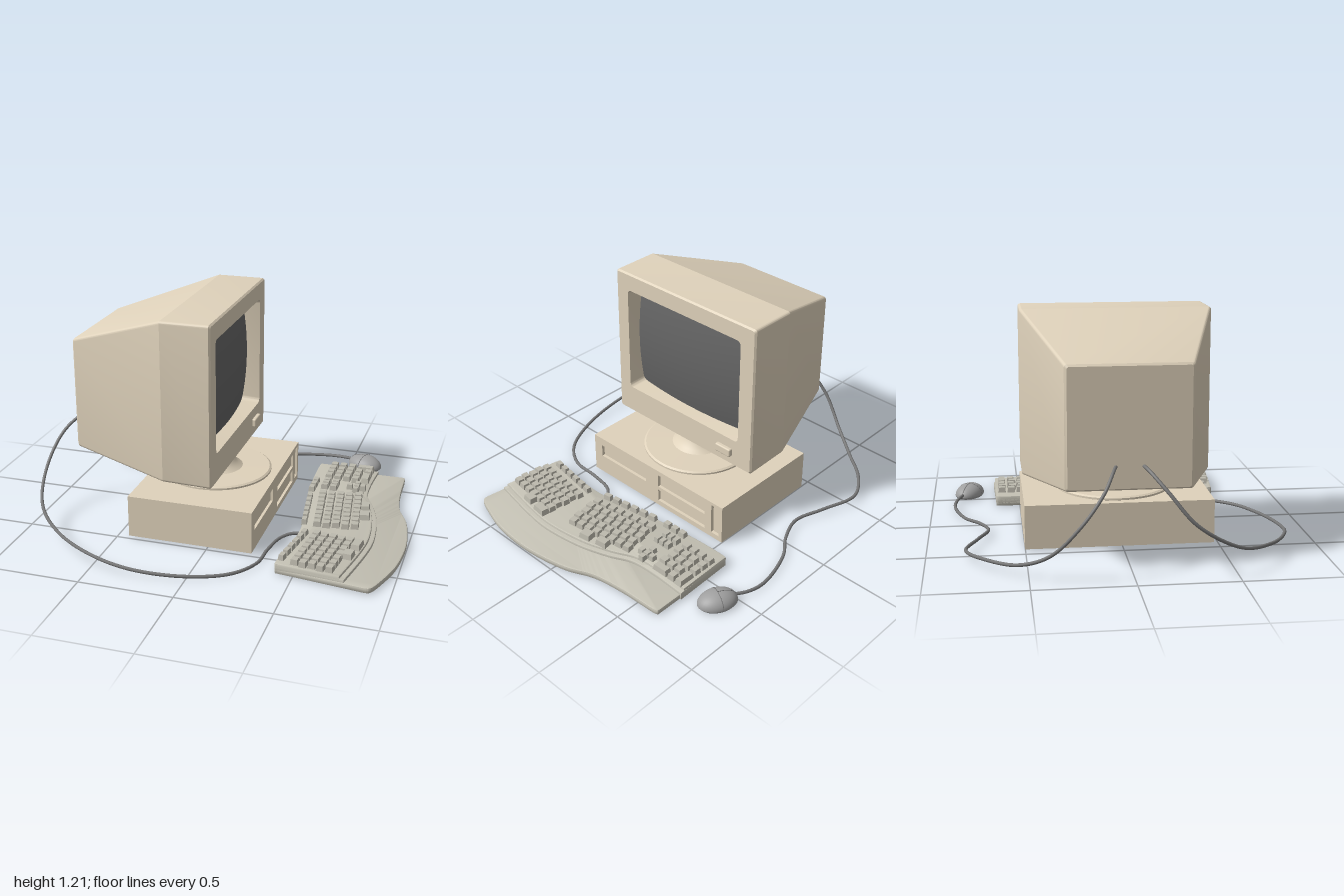
import * as THREE from 'three';
import { mergeGeometries, toCreasedNormals } from 'three/addons/utils/BufferGeometryUtils.js';
import { RoundedBoxGeometry } from 'three/addons/geometries/RoundedBoxGeometry.js';

const mat = (color, extra) => new THREE.MeshStandardMaterial({ color, ...extra });
const beige = mat(0xdfd2bb);
const glass = mat(0x666666, { side: THREE.DoubleSide });
const plastic = mat(0xc4c1b4);
const keyPlastic = mat(0xbdbaae, { flatShading: true });
const mouseGrey = mat(0xa0a0a0);
const cableGrey = mat(0x777777);

function add(parent, name, geometry, material, x = 0, y = 0, z = 0) {
  const mesh = new THREE.Mesh(geometry, material);
  mesh.name = name;
  mesh.position.set(x, y, z);
  parent.add(mesh);
  return mesh;
}

// Rounded rectangle in the y-z plane, running anticlockwise as seen from +x
function section(x, z0, z1, y0, y1, r) {
  const points = [], steps = 6;
  for (let c = 0; c < 4; c++) {
    const z = c === 0 || c === 3 ? z0 + r : z1 - r;
    const y = c < 2 ? y1 - r : y0 + r;
    for (let s = 0; s <= steps; s++) {
      const a = (c + s / steps) * Math.PI / 2;
      points.push([x, y + r * Math.sin(a), z - r * Math.cos(a)]);
    }
  }
  return points;
}

function loft(sections) {
  const n = sections[0].length, index = [];
  for (let i = 0; i < sections.length - 1; i++) {
    for (let j = 0; j < n; j++) {
      const k = (j + 1) % n, a = i * n + j, b = i * n + k;
      index.push(a, b, b + n, a, b + n, a + n);
    }
  }
  const g = new THREE.BufferGeometry();
  g.setAttribute('position', new THREE.Float32BufferAttribute(sections.flat(2), 3));
  g.setIndex(index);
  return toCreasedNormals(g, 0.3);
}

function createMonitor() {
  const g = new THREE.Group();
  g.name = 'monitor';
  // Tapered housing, front frame and the recess around the screen
  add(g, 'housing', loft([
    section(-0.8, -0.01, -0.01, 0.7, 0.7, 0),
    section(-0.8, -0.31, 0.287, 0.413, 1.005, 0.012),
    section(-0.79, -0.322, 0.3, 0.404, 1.016, 0.015),
    section(-0.24, -0.505, 0.48, 0.345, 1.21, 0.015),
    section(0.015, -0.505, 0.48, 0.338, 1.21, 0.015),
    section(0.025, -0.497, 0.472, 0.346, 1.202, 0.012),
    section(0.025, -0.41, 0.395, 0.5, 1.112, 0.025),
    section(-0.1, -0.40, 0.385, 0.51, 1.102, 0.025),
  ]), beige);

  // Bulging screen
  const screen = new THREE.PlaneGeometry(0.8, 0.61, 16, 16).rotateY(Math.PI / 2);
  const p = screen.attributes.position;
  for (let i = 0; i < p.count; i++) {
    p.setX(i, -0.03 * ((p.getZ(i) / 0.4) ** 2 + (p.getY(i) / 0.305) ** 2));
  }
  screen.computeVertexNormals();
  add(g, 'screen', screen, glass, -0.02, 0.806, -0.008);
  add(g, 'powerButton', new RoundedBoxGeometry(0.04, 0.048, 0.104, 2, 0.008), beige, 0.026, 0.418, -0.32);

  // Swivel stand
  const profile = [[0, 0.235], [0.29, 0.235], [0.305, 0.24], [0.305, 0.25], [0.295, 0.257], [0.145, 0.259],
    [0.122, 0.275], [0.105, 0.295], [0.09, 0.32], [0.08, 0.36], [0, 0.36]];
  const lathe = new THREE.LatheGeometry(profile.map(q => new THREE.Vector2(...q)), 48);
  add(g, 'stand', toCreasedNormals(lathe, 0.5), beige, -0.105, 0, -0.01);
  return g;
}

function createCase() {
  const g = new THREE.Group();
  g.name = 'computerCase';
  add(g, 'caseBody', new THREE.BoxGeometry(0.655, 0.23, 0.98), beige, -0.1125, 0.12, -0.012);
  // Front plate with recessed bays: z from, z to, y from, y to
  const bays = [[0.065, 0.42, 0.115, 0.187], [-0.377, -0.03, 0.13, 0.207],
    [-0.377, -0.03, 0.035, 0.108], [-0.48, -0.425, 0.035, 0.217]];
  const rect = (Type, z0, z1, y0, y1) => new Type(
    [[-z1, y0], [-z0, y0], [-z0, y1], [-z1, y1]].map(q => new THREE.Vector2(...q)));
  const plate = rect(THREE.Shape, -0.502, 0.478, 0.005, 0.235);
  bays.forEach(b => plate.holes.push(rect(THREE.Path, ...b)));
  const plateGeometry = new THREE.ExtrudeGeometry(plate, { depth: 0.025, bevelEnabled: false });
  add(g, 'frontPlate', plateGeometry.rotateY(Math.PI / 2), beige, 0.215);
  bays.forEach(([z0, z1, y0, y1]) => add(g, 'bayCover',
    new THREE.BoxGeometry(0.015, y1 - y0 - 0.016, z1 - z0 - 0.016), beige, 0.222, (y0 + y1) / 2, (z0 + z1) / 2));
  return g;
}

// Horizontal slab with a curved front and back edge, given as [x, z] points
function slab(front, back, height, bevel) {
  const v = q => new THREE.Vector2(q[0], -q[1]);
  const s = new THREE.Shape();
  s.moveTo(...v(front[0]).toArray());
  s.splineThru(front.slice(1).map(v));
  s.lineTo(...v(back[0]).toArray());
  s.splineThru(back.slice(1).map(v));
  s.closePath();
  const geo = new THREE.ExtrudeGeometry(s, { depth: height - 2 * bevel, bevelSize: bevel, bevelOffset: -bevel,
    bevelThickness: bevel, bevelSegments: 2, curveSegments: 24 });
  return toCreasedNormals(geo.rotateX(-Math.PI / 2).translate(0, bevel, 0), 0.6);
}

// Tapered keycap: centre, size along x and z, turn about y
function keycap(x, z, w = 0.043, d = 0.043, turn = 0) {
  return new THREE.CylinderGeometry(0.58, 0.707, 1, 4).rotateY(Math.PI / 4)
    .scale(w, 0.032, d).rotateY(turn).translate(x, 0.071, z);
}

// Grid of keys; rows step along the turned x axis and columns along the turned z axis
function keyGrid(x, z, rows, cols, turn = 0, rowStep = 0.05, colStep = 0.052, w = 0.043, d = 0.045) {
  const keys = [], c = Math.cos(turn), s = Math.sin(turn);
  for (let i = 0; i < rows; i++) {
    for (let j = 0; j < cols; j++) {
      const u = i * rowStep, v = j * colStep + (i % 2) * 0.008;
      keys.push(keycap(x + u * c + v * s, z - u * s + v * c, w, d, turn));
    }
  }
  return keys;
}

function createKeyboard() {
  const g = new THREE.Group();
  g.name = 'keyboard';
  const back = [[0.42, 0.637], [0.402, 0.61], [0.425, 0.42], [0.437, 0.25], [0.42, 0.08], [0.38, -0.17],
    [0.355, -0.4], [0.35, -0.61], [0.365, -0.635]];
  add(g, 'palmRest', slab([[0.845, -0.637], [0.862, -0.61], [0.87, -0.4], [0.895, -0.22], [0.955, -0.07], [0.988, 0.1],
    [0.998, 0.26], [0.98, 0.45], [0.93, 0.62], [0.9, 0.685], [0.87, 0.695]], back, 0.03, 0.008), plastic);
  const deckFront = [[0.7, -0.645], [0.69, -0.45], [0.7, -0.3], [0.755, -0.17], [0.805, 0], [0.83, 0.22],
    [0.815, 0.4], [0.765, 0.675]];
  add(g, 'deckStep', slab(deckFront, back, 0.045, 0.006), plastic);
  add(g, 'keyDeck', slab(deckFront.map(([x, z]) => [x - 0.025, z * 0.995]), back, 0.058, 0.008), plastic);

  const blocks = {
    numberPad: [...keyGrid(0.445, -0.547, 4, 3, 0, 0.052, 0.052), keycap(0.445, -0.6), keycap(0.497, -0.6),
      keycap(0.55, -0.6), keycap(0.63, -0.6, 0.1), keycap(0.655, -0.547), keycap(0.655, -0.468, 0.043, 0.095)],
    navigationKeys: keyGrid(0.45, -0.372, 2, 3, 0, 0.052, 0.037, 0.042, 0.031),
    arrowKeys: [[0.588, -0.335], [0.628, -0.373], [0.628, -0.335], [0.628, -0.297], [0.662, -0.335]]
      .map(([x, z]) => keycap(x, z, 0.034, 0.034)),
    systemKeys: keyGrid(0.387, -0.357, 1, 3, 0, 0, 0.054, 0.034, 0.044),
    rightHandKeys: [...keyGrid(0.462, -0.195, 5, 8, 0.14), keycap(0.722, -0.1, 0.05, 0.07, 0.14),
      keycap(0.738, 0.005, 0.06, 0.07, 0.14)],
    rightFunctionKeys: keyGrid(0.399, -0.145, 1, 6, 0.14, 0, 0.061, 0.03, 0.048),
    leftHandKeys: [...keyGrid(0.54, 0.295, 5, 7, -0.12, 0.046, 0.052, 0.04), keycap(0.765, 0.345, 0.05, 0.09, -0.12),
      keycap(0.742, 0.46, 0.055, 0.07, -0.12)],
    leftFunctionKeys: keyGrid(0.475, 0.295, 1, 6, -0.16, 0, 0.057, 0.03, 0.046),
  };
  for (const [name, keys] of Object.entries(blocks)) add(g, name, mergeGeometries(keys), keyPlastic);
  return g;
}

function tube(points, radius, segments) {
  const curve = new THREE.CatmullRomCurve3(points.map(p => new THREE.Vector3(...p)));
  return new THREE.TubeGeometry(curve, segments, radius, 8);
}

function createMouse() {
  const g = new THREE.Group();
  g.name = 'mouse';
  const dome = new THREE.SphereGeometry(1, 32, 12, 0, Math.PI * 2, 0, Math.PI / 2);
  add(g, 'mouseShell', dome.scale(0.107, 0.063, 0.078), mouseGrey, 0, 0.012, 0);
  add(g, 'mouseBase', new THREE.CylinderGeometry(1, 0.9, 0.012, 32).scale(0.107, 1, 0.078), mouseGrey, 0, 0.006, 0);
  // Seams between the buttons and the palm part
  const onDome = (x, z) => [x, 0.012 + 0.063 * Math.sqrt(Math.max(0, 1 - (x / 0.107) ** 2 - (z / 0.078) ** 2)), z];
  const across = [], along = [];
  for (let i = 0; i <= 12; i++) {
    across.push(onDome(0, 0.078 * Math.sin((i / 6 - 1) * Math.PI / 2)));
    along.push(onDome(-0.107 * Math.sin(i / 12 * Math.PI / 2), 0));
  }
  add(g, 'crossSeam', tube(across, 0.002, 24), cableGrey);
  add(g, 'buttonSeam', tube(along, 0.002, 24), cableGrey);
  g.position.set(0.59, 0, -0.79);
  g.rotation.y = -0.42;
  return g;
}

export function createModel() {
  const model = new THREE.Group();
  model.name = 'desktopComputer';
  model.add(createMonitor(), createCase(), createKeyboard(), createMouse());

  // Cables from the back of the monitor
  add(model, 'keyboardCable', tube([[-0.78, 0.525, 0.05], [-0.85, 0.51, 0.075], [-0.94, 0.43, 0.15], [-0.99, 0.28, 0.28],
    [-0.93, 0.145, 0.5], [-0.75, 0.095, 0.7], [-0.5, 0.065, 0.835], [-0.27, 0.035, 0.865], [0, 0.016, 0.82],
    [0.2, 0.01, 0.72], [0.295, 0.01, 0.58], [0.31, 0.01, 0.42], [0.34, 0.012, 0.28], [0.39, 0.018, 0.225],
    [0.45, 0.02, 0.21]], 0.009, 160), cableGrey);
  add(model, 'mouseCable', tube([[-0.78, 0.525, -0.075], [-0.84, 0.51, -0.095], [-0.915, 0.42, -0.15], [-0.955, 0.28, -0.26],
    [-0.91, 0.13, -0.4], [-0.82, 0.06, -0.55], [-0.68, 0.05, -0.72], [-0.53, 0.042, -0.8], [-0.33, 0.033, -0.74],
    [-0.16, 0.025, -0.685], [-0.02, 0.018, -0.73], [0.1, 0.012, -0.81], [0.32, 0.011, -0.87], [0.43, 0.018, -0.86],
    [0.53, 0.03, -0.815]], 0.009, 160), cableGrey);
  return model;
}
